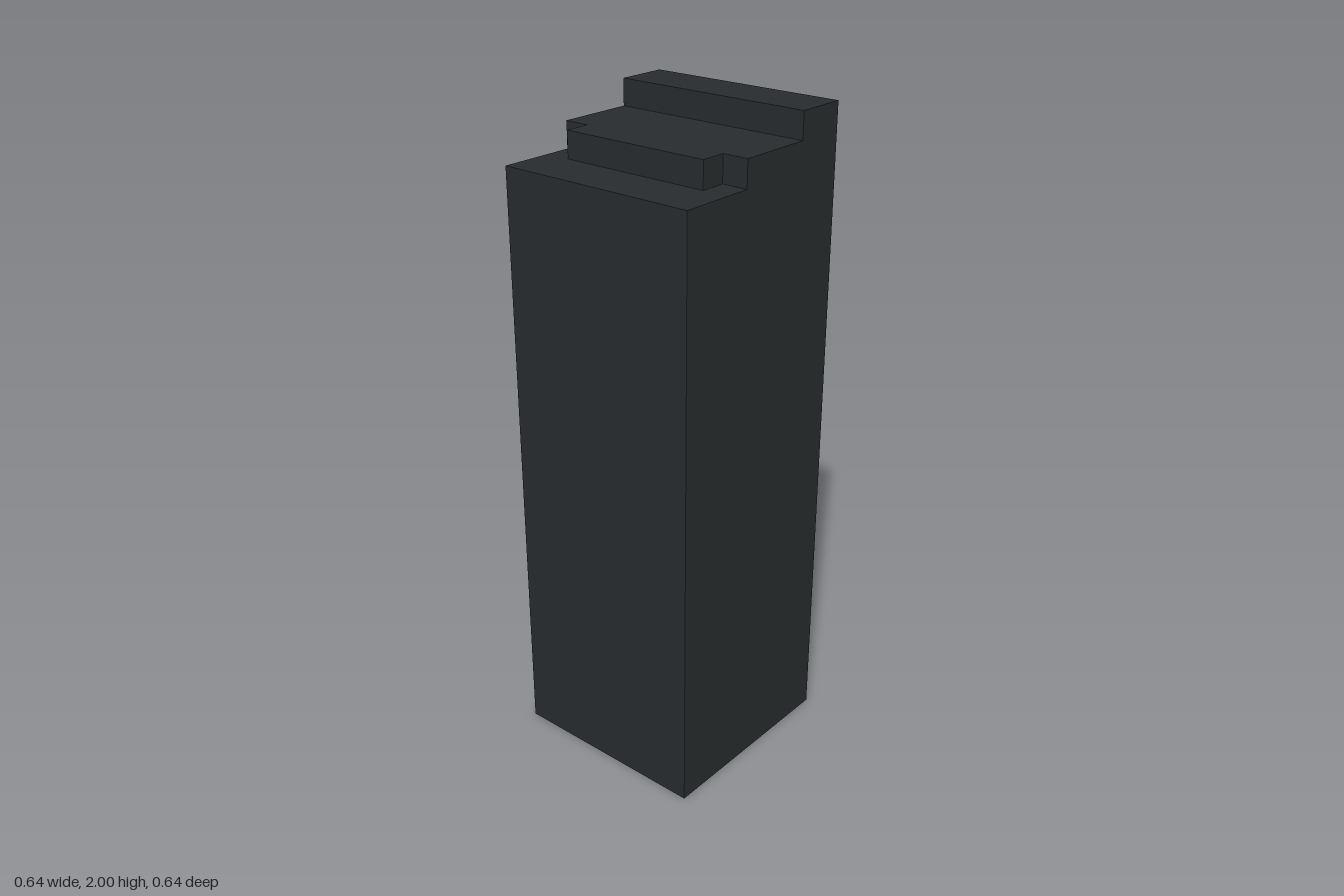
import * as THREE from 'three';

export function createModel() {
  const model = new THREE.Group();
  model.name = 'steppedPillar';
  const material = new THREE.MeshStandardMaterial({ color: 0x272b2d, flatShading: true });

  const half = 0.32, lowTop = 1.84, midTop = 1.92, highTop = 2;

  // Square pillar whose top climbs in two steps towards +x
  const profile = new THREE.Shape([
    [-half, 0], [half, 0], [half, highTop], [0.16, highTop],
    [0.16, midTop], [-0.08, midTop], [-0.08, lowTop], [-half, lowTop],
  ].map(([x, y]) => new THREE.Vector2(x, y)));
  const pillarGeometry = new THREE.ExtrudeGeometry(profile, { depth: 2 * half, bevelEnabled: false });
  pillarGeometry.translate(0, 0, -half);
  const pillar = new THREE.Mesh(pillarGeometry, material);
  pillar.name = 'pillar';

  // Narrower lip that carries the middle step out over the low one
  const lip = new THREE.Mesh(new THREE.BoxGeometry(0.08, midTop - lowTop, 0.48), material);
  lip.name = 'middleStepLip';
  lip.position.set(-0.12, (lowTop + midTop) / 2, 0);

  model.add(pillar, lip);
  return model;
}
